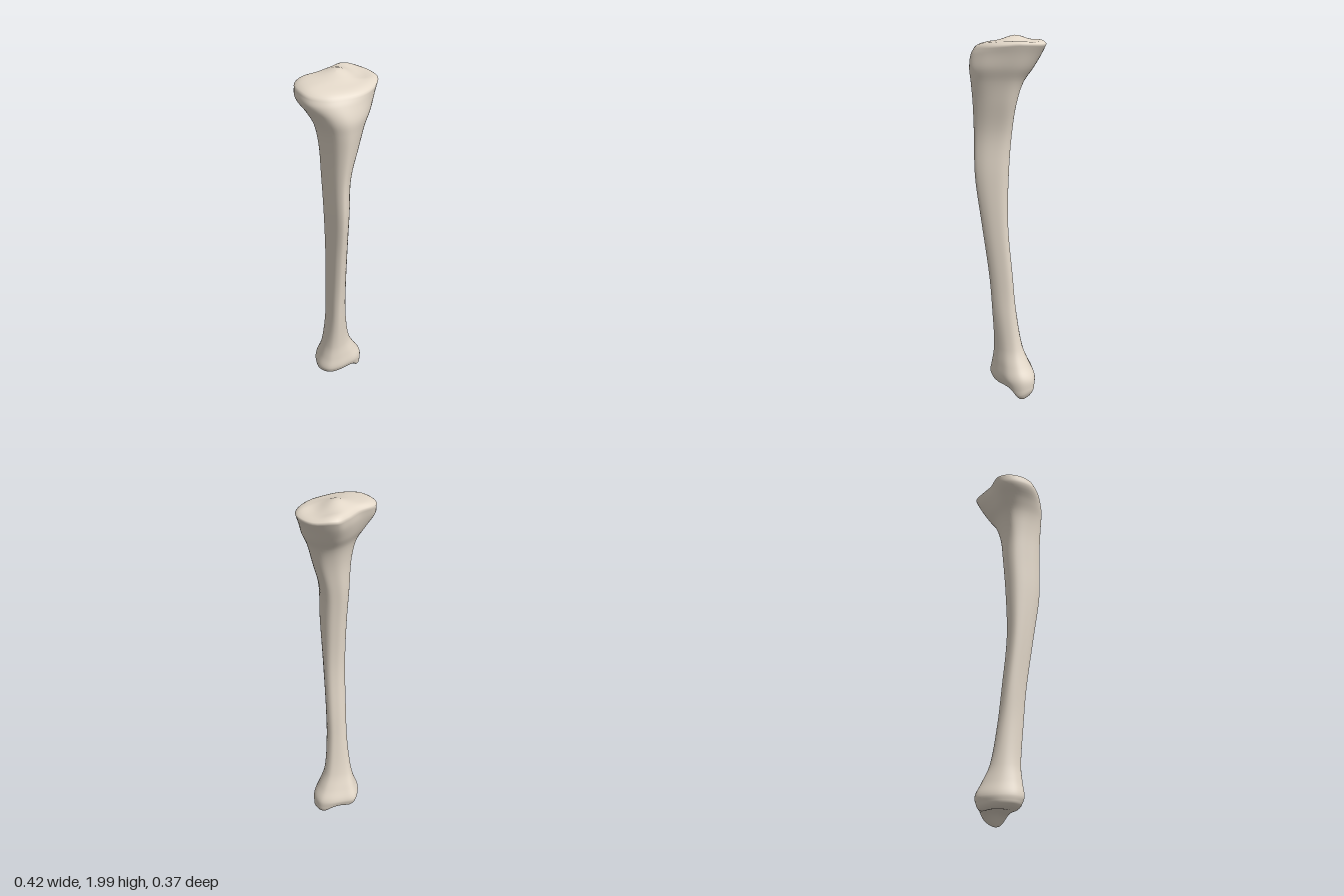
import * as THREE from 'three';

const SIDES = 60;

// Cross-section outlines (x, z), running from the front edge round by +x.
const HEAD = [[-.04, .13], [.07, .12], [.16, .065], [.21, -.02], [.19, -.12], [.10, -.187],
  [.03, -.17], [-.06, -.135], [-.17, -.115], [-.21, -.05], [-.19, .06], [-.12, .115]];
const SHAFT = [[-.04, .165], [-.005, .14], [.025, .09], [.043, .03], [.03, -.01], [0, -.03],
  [-.03, -.04], [-.065, -.03], [-.095, 0], [-.10, .04], [-.09, .09], [-.07, .145]];
const ANKLE = [[-.03, .06], [.04, .05], [.11, .03], [.16, -.02], [.16, -.09], [.12, -.13],
  [.04, -.165], [-.03, -.185], [-.08, -.15], [-.125, -.08], [-.13, 0], [-.09, .05]];

// Height, x range, z range, then share of head and ankle outline.
const SECTIONS = [
  [.08, -.125, .16, -.172, .048, 0, 1],
  [.12, -.13, .158, -.182, .06, 0, 1],
  [.19, -.108, .12, -.15, .055, 0, .9],
  [.28, -.088, .08, -.11, .05, 0, .6],
  [.5, -.072, .048, -.07, .066, 0, .3],
  [.7, -.075, .042, -.048, .083, 0, .1],
  [1, -.085, .037, -.022, .125, 0, 0],
  [1.27, -.093, .04, -.03, .163, 0, 0],
  [1.48, -.1, .05, -.045, .166, 0, 0],
  [1.65, -.11, .095, -.055, .176, .1, 0],
  [1.76, -.13, .127, -.082, .184, .3, 0],
  [1.83, -.165, .163, -.125, .185, .5, 0],
  [1.9, -.21, .19, -.165, .16, .85, 0],
  [1.945, -.207, .21, -.186, .142, 1, 0],
];

// Smooth closed outline scaled to the unit square.
function unitOutline(points) {
  const curve = new THREE.CatmullRomCurve3(points.map(([x, z]) => new THREE.Vector3(x, 0, z)), true);
  const ring = Array.from({ length: SIDES }, (_, j) => curve.getPoint(j / SIDES));
  return fit(ring, 0, 1, 0, 1, 0);
}

function fit(ring, x0, x1, z0, z1, y) {
  const box = new THREE.Box3().setFromPoints(ring);
  return ring.map((p) => new THREE.Vector3(
    THREE.MathUtils.mapLinear(p.x, box.min.x, box.max.x, x0, x1), y,
    THREE.MathUtils.mapLinear(p.z, box.min.z, box.max.z, z0, z1)));
}

const bump = (x, z, cx, cz, sx, sz) => Math.exp(-0.5 * (((x - cx) / sx) ** 2 + ((z - cz) / sz) ** 2));

// Knee plateau: central spines, raised back rim and shallow dishes.
function topHeight(x, z, s) {
  return 1.968 - 0.12 * Math.max(0, z - 0.03)
    + 0.032 * bump(x, z, .02, -.05, .05, .05)
    + 0.012 * bump(x, z, .1, -.16, .05, .03)
    - 0.012 * bump(x, z, .12, -.03, .04, .05)
    + 0.008 * bump(x, z, -.1, -.04, .06, .08)
    - 0.022 * s ** 10;
}

// Ankle end: hollow joint surface with the inner ankle knob hanging down.
function bottomHeight(x, z, s) {
  return 0.055 + 0.02 * bump(x, z, .02, -.06, .05, .05)
    - 0.055 * bump(x, z, .135, -.03, .025, .045)
    - 0.018 * bump(x, z, .12, -.1, .03, .03)
    - 0.008 * bump(x, z, -.03, -.16, .05, .03)
    + 0.03 * s ** 8;
}

// One ring of an end cap, shrunk towards a centre point.
function capRing(rim, s, cx, cz, height) {
  return rim.map((p) => {
    const x = cx + (p.x - cx) * s, z = cz + (p.z - cz) * s;
    return new THREE.Vector3(x, height(x, z, s), z);
  });
}

// Join closed rings, listed from bottom to top, into a skin.
function loft(rings) {
  const index = [];
  for (let i = 0; i < rings.length - 1; i++) {
    for (let j = 0; j < SIDES; j++) {
      const k = (j + 1) % SIDES;
      const a = i * SIDES + j, b = i * SIDES + k, c = a + SIDES, d = b + SIDES;
      index.push(a, b, c, b, d, c);
    }
  }
  const geometry = new THREE.BufferGeometry().setFromPoints(rings.flat());
  geometry.setIndex(index);
  geometry.computeVertexNormals();
  return geometry;
}

export function createModel() {
  const head = unitOutline(HEAD), shaft = unitOutline(SHAFT), ankle = unitOutline(ANKLE);

  // Blend the outlines at each height
  const keys = SECTIONS.map(([y, x0, x1, z0, z1, h, a]) => {
    const ring = shaft.map((p, j) => p.clone().multiplyScalar(1 - h - a)
      .addScaledVector(head[j], h).addScaledVector(ankle[j], a));
    return fit(ring, x0, x1, z0, z1, y);
  });

  // End caps
  const scales = [0, .12, .24, .36, .48, .6, .7, .79, .87, .93, .97, 1];
  const bottom = scales.map((s) => capRing(keys[0], s, .02, -.06, bottomHeight));
  const top = scales.map((s) => capRing(keys[keys.length - 1], s, 0, -.03, topHeight)).reverse();
  keys[0] = bottom.pop();
  keys[keys.length - 1] = top.shift();

  // Smooth lengthwise curves through the sections
  const steps = (keys.length - 1) * 5;
  const columns = shaft.map((_, j) => new THREE.CatmullRomCurve3(keys.map((ring) => ring[j])));
  const body = Array.from({ length: steps + 1 }, (_, i) => columns.map((c) => c.getPoint(i / steps)));

  const material = new THREE.MeshStandardMaterial({ color: 0xe3d8c9 });
  const bone = new THREE.Mesh(loft([...bottom, ...body, ...top]), material);
  bone.name = 'shinBone';

  const group = new THREE.Group();
  group.name = 'shinBoneModel';
  group.add(bone);
  return group;
}
